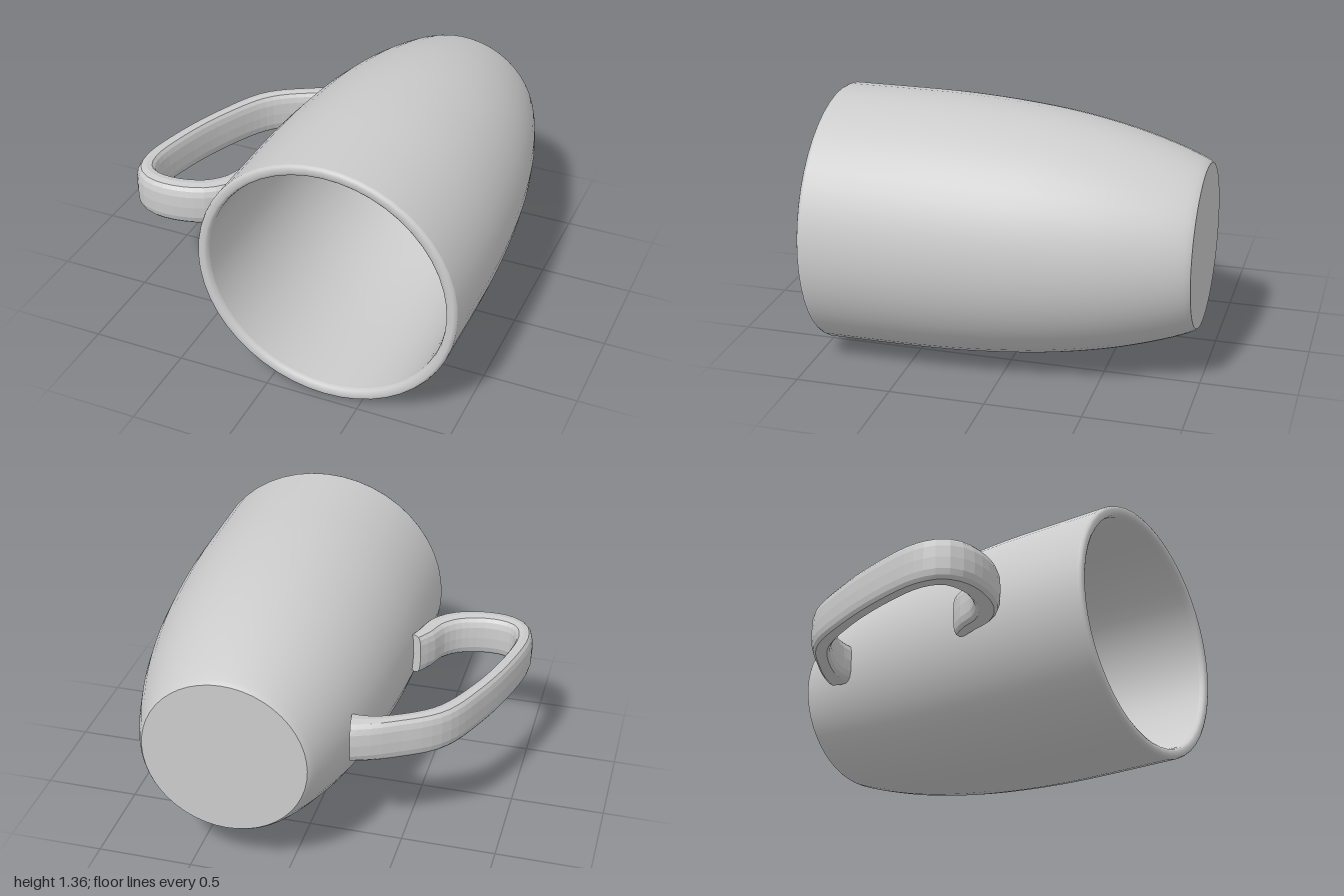
import * as THREE from 'three';

const material = new THREE.MeshStandardMaterial({ color: 0xcccccc });
const facetedMaterial = new THREE.MeshStandardMaterial({ color: 0xcccccc, flatShading: true });

// Surface of revolution from [radius, height] pairs; smooth samples a spline through them
function lathePart(name, pairs, smooth = 0) {
  let pts = pairs.map(([r, h]) => new THREE.Vector2(r, h));
  if (smooth) pts = new THREE.SplineCurve(pts).getPoints(smooth);
  const mesh = new THREE.Mesh(new THREE.LatheGeometry(pts, 48), material);
  mesh.name = name;
  return mesh;
}

// Sweep a rounded-rectangular section along a path of [x, z, halfThickness] in the xz plane
function sweepHandle(stations, halfWidth, steps, sides) {
  const curve = new THREE.CatmullRomCurve3(
    stations.map(([x, z, t]) => new THREE.Vector3(x, t, z)), false, 'centripetal');
  const up = new THREE.Vector3(0, 1, 0);
  const pos = [], idx = [];
  const soften = v => Math.sign(v) * Math.pow(Math.abs(v), 0.65);
  const ends = [];
  for (let i = 0; i <= steps; i++) {
    const p = curve.getPointAt(i / steps);
    const tangent = curve.getTangentAt(i / steps).setY(0).normalize();
    const side = new THREE.Vector3().crossVectors(up, tangent);
    if (i === 0 || i === steps) ends.push([p.x, 0, p.z]);
    for (let j = 0; j < sides; j++) {
      const a = (j / sides) * Math.PI * 2;
      const d = p.y * soften(Math.cos(a));
      pos.push(p.x + side.x * d, halfWidth * soften(Math.sin(a)), p.z + side.z * d);
    }
  }
  for (let i = 0; i < steps; i++) {
    for (let j = 0; j < sides; j++) {
      const k = (j + 1) % sides;
      const a = i * sides + j, b = i * sides + k;
      idx.push(a, b, a + sides, b, b + sides, a + sides);
    }
  }
  // End caps
  const first = pos.length / 3;
  pos.push(...ends[0], ...ends[1]);
  for (let j = 0; j < sides; j++) {
    const k = (j + 1) % sides;
    idx.push(first, k, j, first + 1, steps * sides + j, steps * sides + k);
  }
  const geo = new THREE.BufferGeometry();
  geo.setAttribute('position', new THREE.Float32BufferAttribute(pos, 3));
  geo.setIndex(idx);
  geo.computeVertexNormals();
  return geo;
}

export function createModel() {
  const mug = new THREE.Group();
  mug.name = 'mug';

  // Tapered cup lying on its side, mouth towards +z
  const cup = new THREE.Group();
  cup.name = 'cup';
  cup.add(
    lathePart('base', [[0, -0.97], [0.43, -0.97]]),
    lathePart('outerWall', [[0.43, -0.97], [0.455, -0.93], [0.505, -0.8], [0.565, -0.6],
      [0.61, -0.4], [0.643, -0.2], [0.665, 0], [0.68, 0.2], [0.688, 0.4], [0.69, 0.65], [0.69, 0.95]], 36),
    lathePart('rim', [[0.69, 0.95], [0.684, 0.964], [0.672, 0.97], [0.65, 0.968], [0.637, 0.96], [0.632, 0.94]]),
    lathePart('innerWall', [[0.632, 0.94], [0.632, 0.4], [0.61, 0], [0.555, -0.4],
      [0.505, -0.62], [0.455, -0.8], [0.425, -0.87], [0.37, -0.9]], 36),
    lathePart('innerFloor', [[0.37, -0.9], [0, -0.9]])
  );
  cup.rotation.x = Math.PI / 2;
  cup.scale.z = 0.985;
  cup.position.set(0.305, 0.68, 0);
  mug.add(cup);

  // Ear-shaped handle on the right side
  const handle = new THREE.Mesh(sweepHandle([
    [-0.255, -0.63, 0.09], [-0.34, -0.615, 0.07], [-0.45, -0.57, 0.055], [-0.665, -0.425, 0.055],
    [-0.81, -0.155, 0.046], [-0.915, 0.165, 0.045], [-0.952, 0.4, 0.048], [-0.92, 0.515, 0.056],
    [-0.845, 0.567, 0.064], [-0.716, 0.578, 0.067], [-0.556, 0.53, 0.07], [-0.465, 0.44, 0.067],
    [-0.425, 0.33, 0.058], [-0.385, 0.25, 0.04]
  ], 0.115, 44, 16), facetedMaterial);
  handle.name = 'handle';
  handle.position.y = 0.685;
  mug.add(handle);

  return mug;
}
